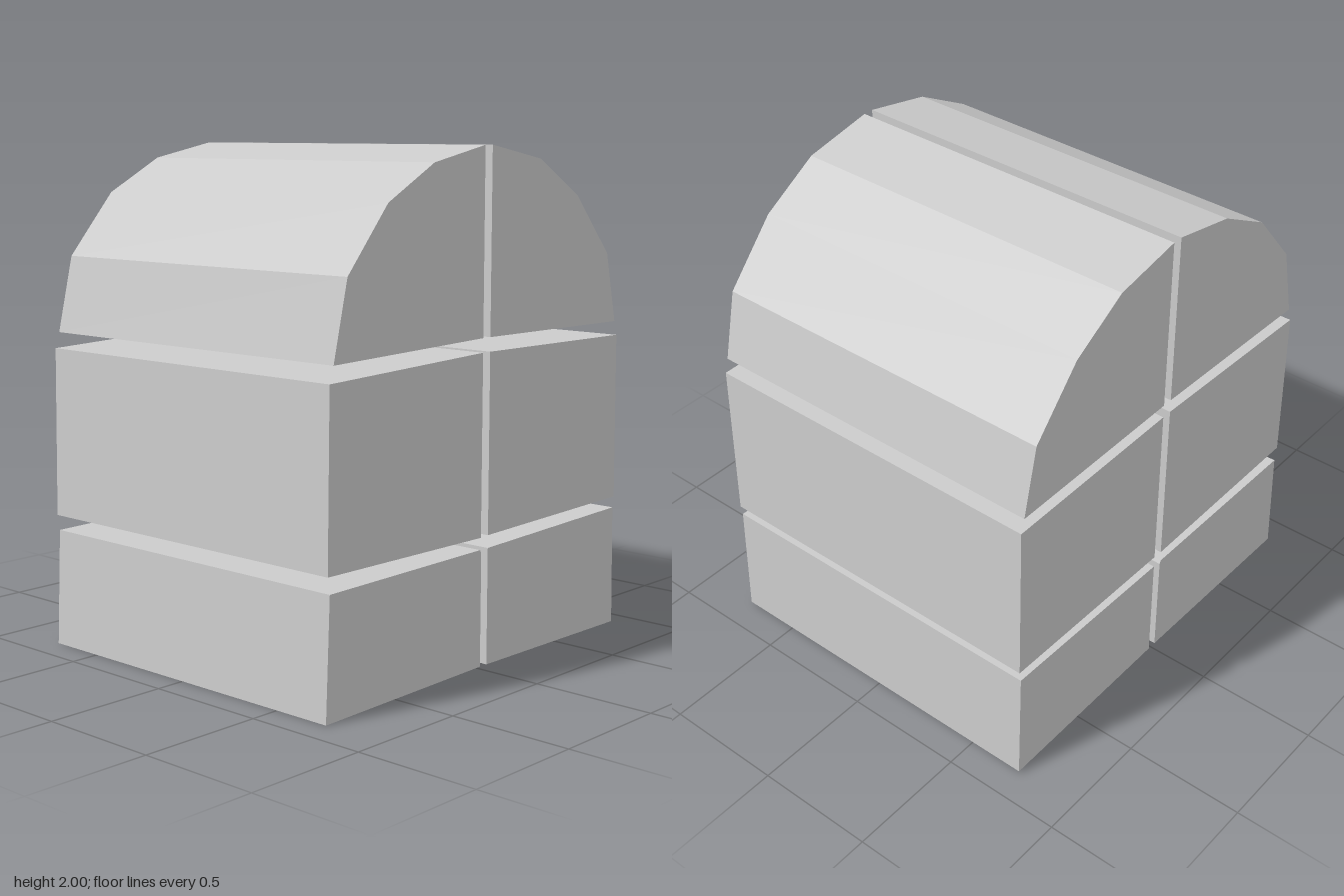
import * as THREE from 'three';

const WIDTH = 1.48;

// Cross-sections of the stones as [z, y] corners
const stones = {
  frontBaseBlock: [[0.88, 0], [0.015, 0.015], [0.015, 0.46], [0.022, 0.475], [0.86, 0.465]],
  backBaseBlock: [[-0.025, 0.015], [-0.875, 0.01], [-0.865, 0.5], [-0.025, 0.475]],
  frontMiddleBlock: [[0.87, 0.528], [0.018, 0.522], [0.018, 1.23], [0.86, 1.2]],
  backMiddleBlock: [[-0.025, 0.525], [-0.872, 0.545], [-0.865, 1.222], [-0.025, 1.23]],
  frontRoundedCap: [[0.84, 1.262], [0.018, 1.285], [0.018, 2], [0.31, 1.94], [0.56, 1.805], [0.77, 1.56]],
  backRoundedCap: [[-0.025, 1.285], [-0.848, 1.28], [-0.785, 1.56], [-0.57, 1.8], [-0.325, 1.945], [-0.025, 2]],
};

export function createModel() {
  const model = new THREE.Group();
  model.name = 'archedBlockStack';
  const material = new THREE.MeshStandardMaterial({ color: 0xcccccc, flatShading: true });

  // Each stone is its cross-section run straight across the width
  for (const [name, corners] of Object.entries(stones)) {
    const shape = new THREE.Shape(corners.map(([z, y]) => new THREE.Vector2(-z, y)));
    const geometry = new THREE.ExtrudeGeometry(shape, { depth: WIDTH, bevelEnabled: false });
    geometry.translate(0, 0, -WIDTH / 2).rotateY(Math.PI / 2);
    const mesh = new THREE.Mesh(geometry, material);
    mesh.name = name;
    model.add(mesh);
  }
  return model;
}
